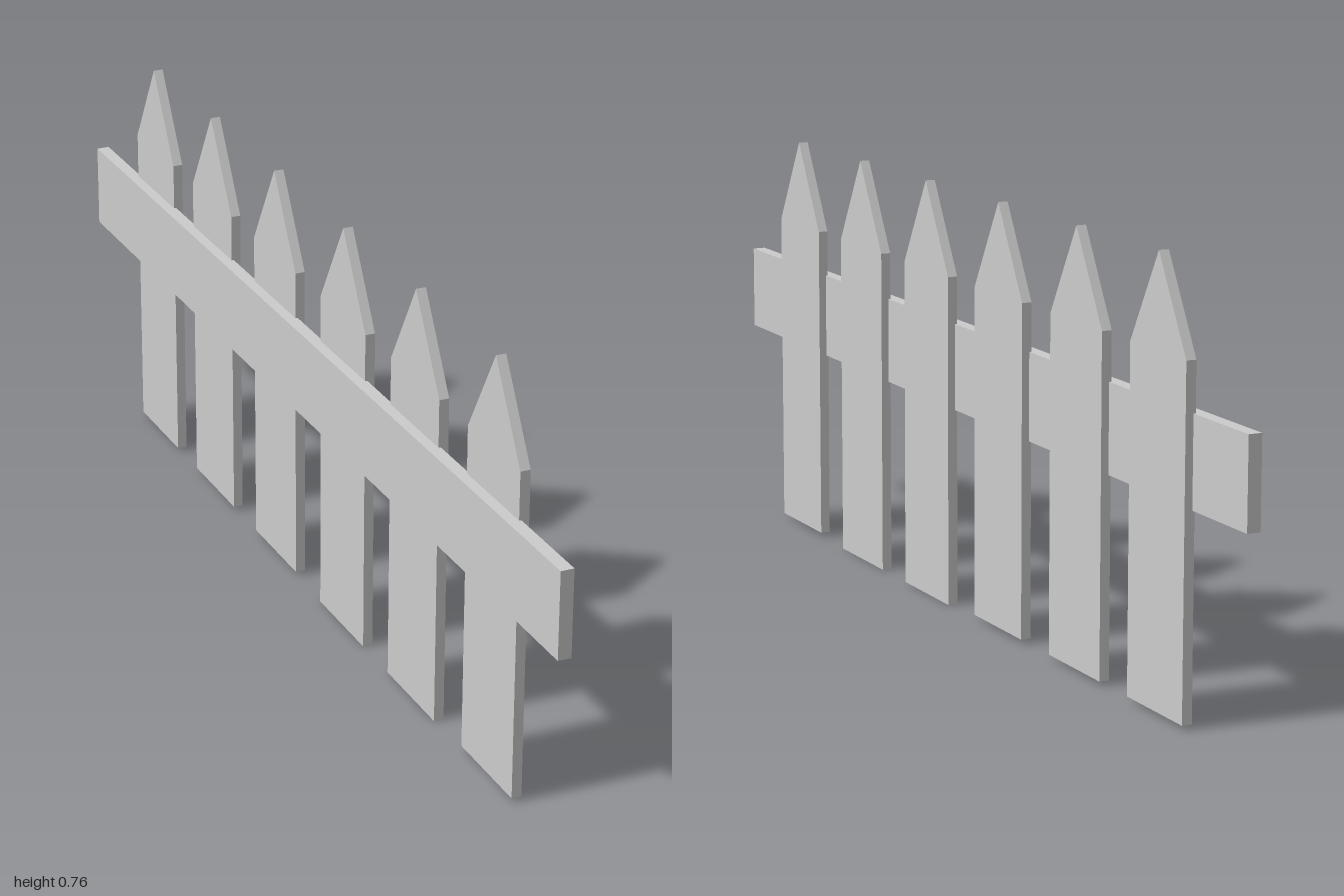
import * as THREE from 'three';

export function createModel() {
  const fence = new THREE.Group();
  fence.name = 'picketFence';
  const material = new THREE.MeshStandardMaterial({ color: 0xcccccc, flatShading: true });

  // Long horizontal rail behind the pickets
  const rail = new THREE.Mesh(new THREE.BoxGeometry(0.024, 0.157, 2), material);
  rail.name = 'rail';
  rail.position.set(-0.007, 0.4385, 0);
  fence.add(rail);

  // Pointed board: outline in its own plane, turned so that it faces +x
  const picketGeometry = (bottom) => {
    const half = 0.0935, shoulder = 0.603, tip = 0.765;
    const outline = new THREE.Shape([
      new THREE.Vector2(-half, bottom),
      new THREE.Vector2(half, bottom),
      new THREE.Vector2(half, shoulder),
      new THREE.Vector2(0, tip),
      new THREE.Vector2(-half, shoulder),
    ]);
    return new THREE.ExtrudeGeometry(outline, { depth: 0.018, bevelEnabled: false }).rotateY(Math.PI / 2);
  };

  // Six pickets, slightly uneven in spacing and foot height: [z, bottom]
  const pickets = [
    [0.726, 0.008], [0.433, 0], [0.143, 0],
    [-0.154, 0.008], [-0.448, 0.008], [-0.733, 0.008],
  ];
  pickets.forEach(([z, bottom], i) => {
    const picket = new THREE.Mesh(picketGeometry(bottom), material);
    picket.name = `picket${i + 1}`;
    picket.position.set(0.001, 0, z);
    fence.add(picket);
  });

  return fence;
}
